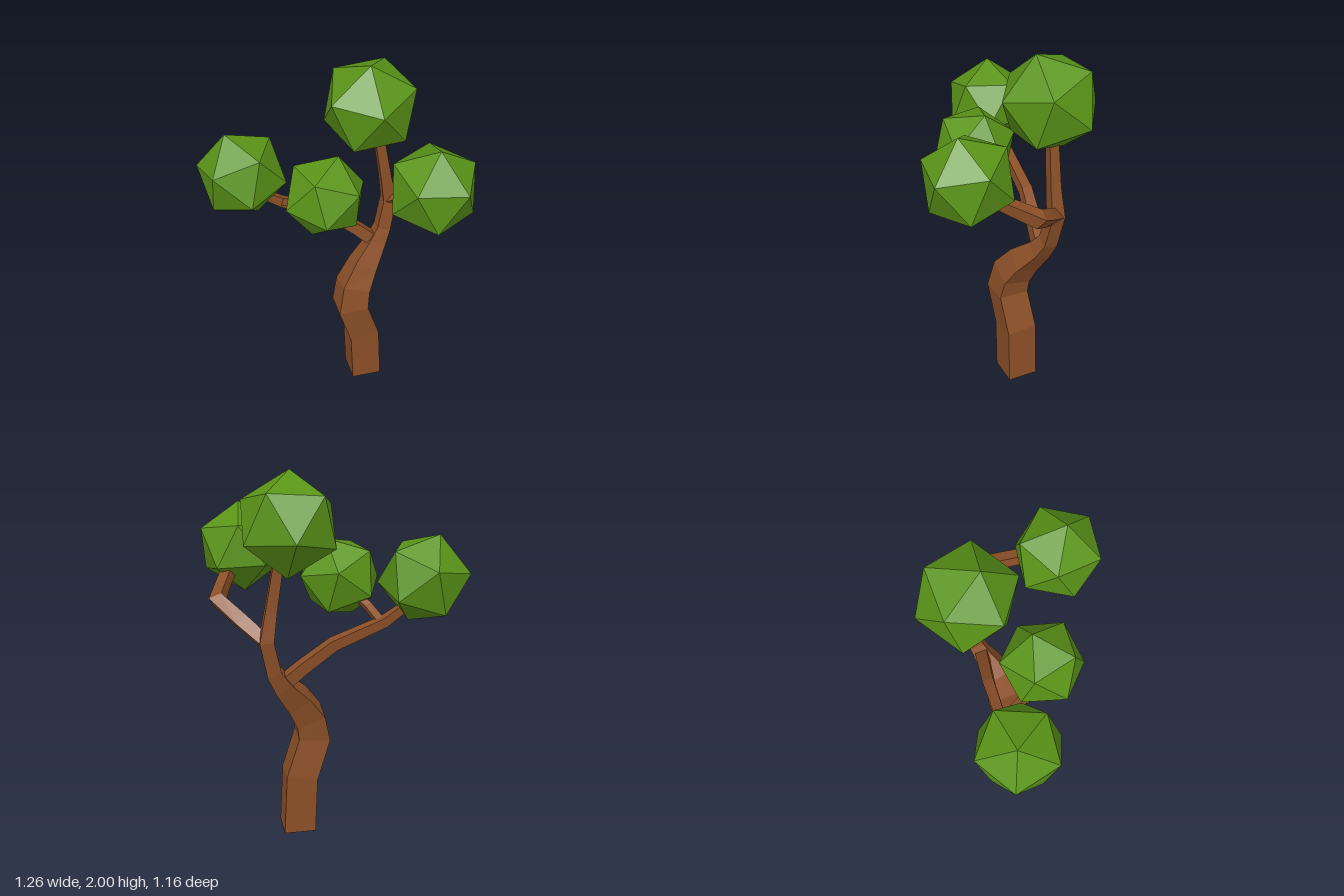
import * as THREE from 'three';

const bark = new THREE.MeshStandardMaterial({ color: 0x8b4f27, flatShading: true });
const leaf = new THREE.MeshStandardMaterial({ color: 0x5a9418, flatShading: true });
const UP = new THREE.Vector3(0, 1, 0);

// Square-section limb swept along [x, y, z, half diagonal], its frame carried along the path
function limb(name, path) {
  const pts = path.map(p => new THREE.Vector3(p[0], p[1], p[2]));
  const last = pts.length - 1;
  const frame = new THREE.Quaternion();
  let previous = UP.clone();
  const rings = pts.map((p, i) => {
    const tangent = new THREE.Vector3();
    if (i > 0) tangent.add(p.clone().sub(pts[i - 1]).normalize());
    if (i < last) tangent.add(pts[i + 1].clone().sub(p).normalize());
    if (i === 0 && p.y === 0) tangent.copy(UP);
    tangent.normalize();
    frame.premultiply(new THREE.Quaternion().setFromUnitVectors(previous, tangent));
    previous = tangent;
    return [0, 1, 2, 3].map(k => {
      const a = 0.418 + k * Math.PI / 2;
      return new THREE.Vector3(Math.cos(a), 0, -Math.sin(a))
        .multiplyScalar(path[i][3]).applyQuaternion(frame).add(p);
    });
  });
  const out = [];
  const quad = (a, b, c, d) => [a, b, c, a, c, d].forEach(v => out.push(v.x, v.y, v.z));
  for (let i = 0; i < last; i++) {
    for (let k = 0; k < 4; k++) {
      const n = (k + 1) % 4;
      quad(rings[i][k], rings[i][n], rings[i + 1][n], rings[i + 1][k]);
    }
  }
  quad(...[...rings[0]].reverse());
  quad(...rings[last]);
  const geometry = new THREE.BufferGeometry();
  geometry.setAttribute('position', new THREE.Float32BufferAttribute(out, 3));
  geometry.computeVertexNormals();
  const mesh = new THREE.Mesh(geometry, bark);
  mesh.name = name;
  return mesh;
}

// Orthonormal basis from one corner direction and a neighbouring corner direction
function basis(a, b) {
  const y = a.clone().normalize();
  const z = y.clone().cross(b).normalize();
  return new THREE.Matrix4().makeBasis(y.clone().cross(z), y, z);
}

// Icosahedron turned so one corner points along top and a neighbour towards side
function foliage(name, center, radius, top, side) {
  const t = (1 + Math.sqrt(5)) / 2;
  const local = basis(new THREE.Vector3(-1, t, 0), new THREE.Vector3(1, t, 0));
  const target = basis(new THREE.Vector3(...top), new THREE.Vector3(...side));
  const mesh = new THREE.Mesh(new THREE.IcosahedronGeometry(radius, 0), leaf);
  mesh.quaternion.setFromRotationMatrix(target.multiply(local.transpose()));
  mesh.position.set(...center);
  mesh.name = name;
  return mesh;
}

export function createModel() {
  const tree = new THREE.Group();
  tree.name = 'tree';
  tree.add(
    // Winding trunk, narrowing into the top stem
    limb('trunk', [
      [-0.068, 0, -0.20, 0.122], [-0.07, 0.32, -0.185, 0.121],
      [-0.078, 0.54, -0.11, 0.12], [-0.085, 0.66, -0.135, 0.113],
      [-0.095, 0.77, -0.21, 0.095], [-0.11, 0.88, -0.31, 0.068],
      [-0.115, 0.96, -0.362, 0.055], [-0.118, 1.14, -0.405, 0.052],
      [-0.122, 1.3, -0.378, 0.042], [-0.14, 1.56, -0.34, 0.036],
    ]),
    // Left branch, bending backwards then forwards
    limb('leftBranch', [
      [-0.11, 1.14, -0.41, 0.045], [0.02, 1.22, -0.47, 0.05],
      [0.17, 1.31, -0.535, 0.05], [0.28, 1.39, -0.43, 0.042], [0.36, 1.45, -0.33, 0.036],
    ]),
    // Front branch with its side twig
    limb('frontBranch', [
      [-0.11, 0.88, -0.32, 0.05], [-0.17, 0.985, -0.215, 0.046],
      [-0.245, 1.105, -0.08, 0.042], [-0.35, 1.215, 0.16, 0.036], [-0.39, 1.3, 0.28, 0.03],
    ]),
    limb('frontTwig', [
      [-0.355, 1.205, 0.15, 0.028], [-0.22, 1.265, 0.15, 0.028], [-0.1, 1.33, 0.12, 0.024],
    ]),
    // Leaf clusters
    foliage('topFoliage', [-0.165, 1.742, -0.295], 0.27, [0.065, 0.258, 0.045], [0.015, 0.068, 0.25]),
    foliage('leftFoliage', [0.397, 1.52, -0.272], 0.245, [0.05, 0.24, 0.012], [0.215, 0.06, -0.02]),
    foliage('rightFoliage', [-0.412, 1.435, 0.362], 0.243, [-0.052, 0.235, 0.058], [0.085, 0.07, 0.215]),
    foliage('frontFoliage', [-0.025, 1.395, 0.095], 0.228, [0.005, 0.195, -0.075], [0.03, 0, -0.225]),
  );
  return tree;
}
